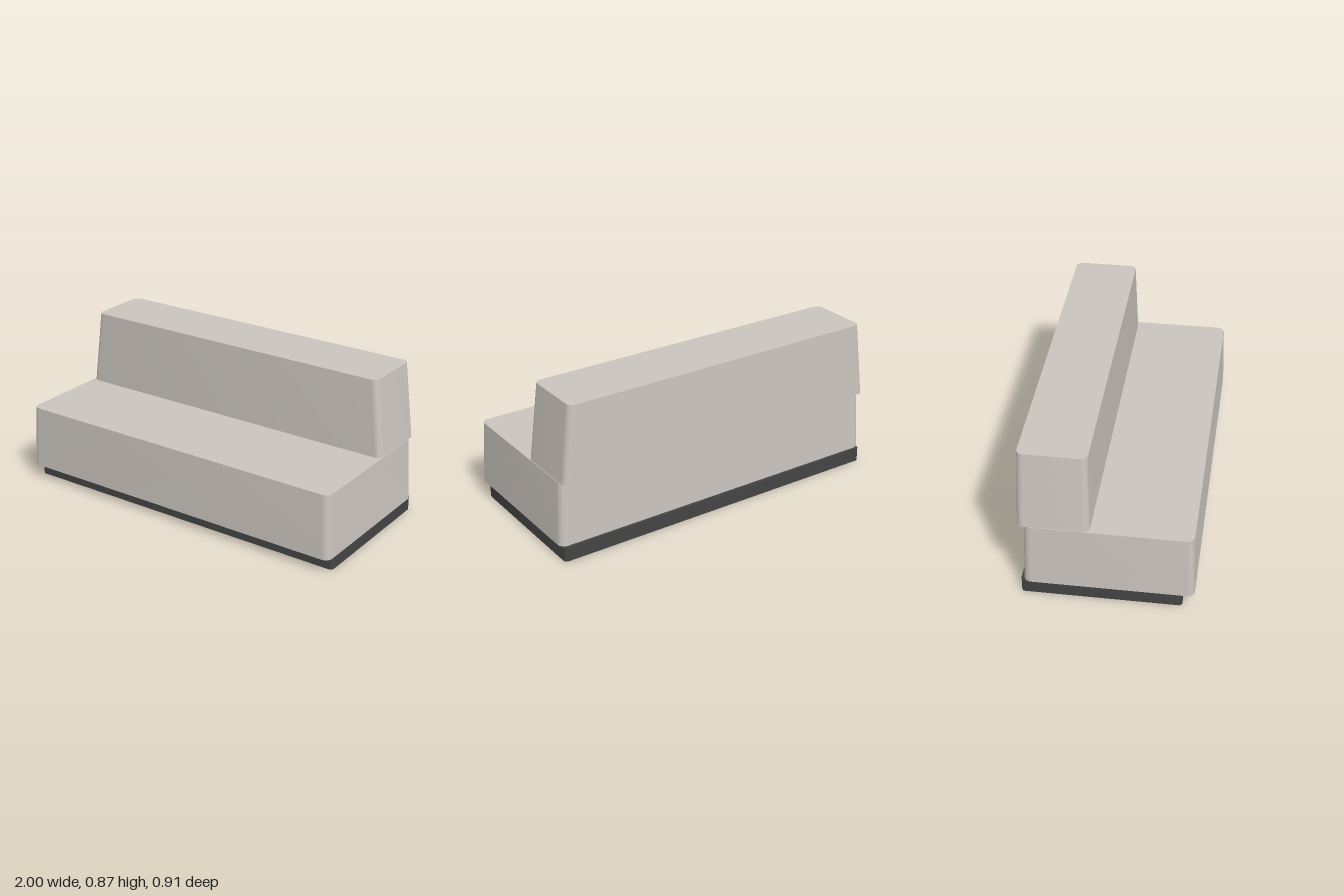
import * as THREE from 'three';
import { toCreasedNormals } from 'three/addons/utils/BufferGeometryUtils.js';

const fabric = new THREE.MeshStandardMaterial({ color: 0xc9c3bd });
const dark = new THREE.MeshStandardMaterial({ color: 0x444444 });

// Upright block with rounded vertical edges, tapering from its base to its top
function taperedBlock(name, material, { width, depth, height, radius, y, z, topWidth = width, topDepth = depth }) {
  const w = width / 2, d = depth / 2, r = radius;
  const outline = new THREE.Shape();
  outline.absarc(w - r, d - r, r, 0, Math.PI / 2);
  outline.absarc(-w + r, d - r, r, Math.PI / 2, Math.PI);
  outline.absarc(-w + r, -d + r, r, Math.PI, Math.PI * 1.5);
  outline.absarc(w - r, -d + r, r, Math.PI * 1.5, Math.PI * 2);

  const geometry = new THREE.ExtrudeGeometry(outline, { depth: height, bevelEnabled: false, curveSegments: 8 });
  geometry.rotateX(-Math.PI / 2);

  // Shift the walls inward with height, keeping the corner radius constant
  const p = geometry.attributes.position;
  for (let i = 0; i < p.count; i++) {
    const t = p.getY(i) / height;
    p.setX(i, p.getX(i) - Math.sign(p.getX(i)) * t * (width - topWidth) / 2);
    p.setZ(i, p.getZ(i) - Math.sign(p.getZ(i)) * t * (depth - topDepth) / 2);
  }
  const mesh = new THREE.Mesh(toCreasedNormals(geometry, Math.PI / 6), material);
  mesh.name = name;
  mesh.position.set(0, y, z);
  return mesh;
}

export function createModel() {
  const bench = new THREE.Group();
  bench.name = 'bench';
  bench.add(
    // Recessed base, set back at the front
    taperedBlock('plinth', dark, { width: 1.976, depth: 0.842, height: 0.081, radius: 0.02, y: 0, z: -0.026 }),
    // Deep seat block
    taperedBlock('seat', fabric, {
      width: 2, depth: 0.889, topWidth: 1.966, topDepth: 0.869,
      height: 0.358, radius: 0.04, y: 0.082, z: 0.0125,
    }),
    // Backrest, overhanging the seat slightly at the rear
    taperedBlock('backrest', fabric, {
      width: 1.96, depth: 0.374, topWidth: 1.86, topDepth: 0.355,
      height: 0.427, radius: 0.035, y: 0.44, z: -0.27,
    }),
  );
  return bench;
}
